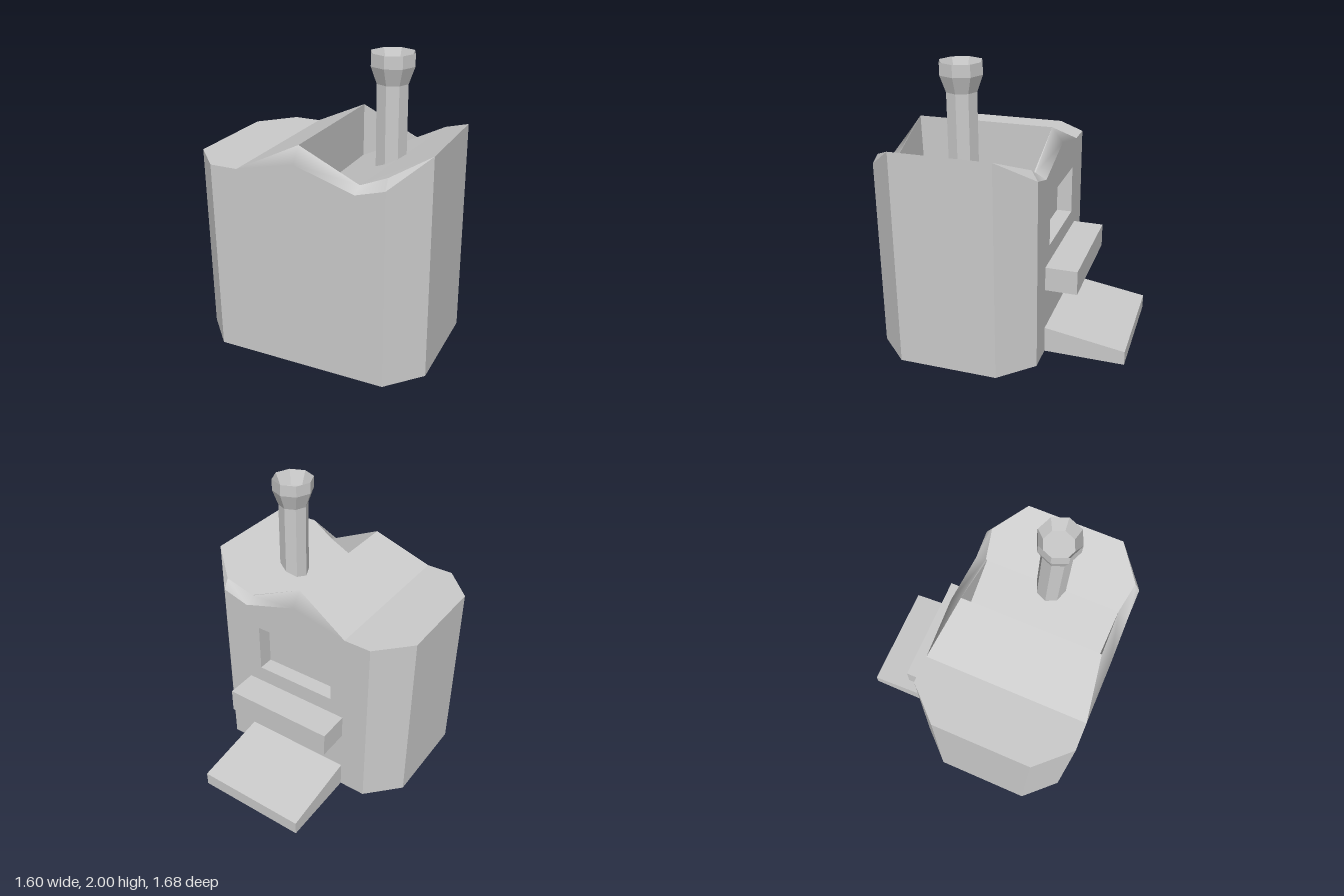
import * as THREE from 'three';
import { mergeGeometries } from 'three/addons/utils/BufferGeometryUtils.js';

const grey = new THREE.MeshStandardMaterial({ color: 0xcccccc });
const flat = new THREE.MeshStandardMaterial({ color: 0xcccccc, flatShading: true });
const inside = new THREE.MeshStandardMaterial({ color: 0xcccccc, side: THREE.BackSide });

function add(parent, name, geometry, material = grey) {
  const mesh = new THREE.Mesh(geometry, material);
  mesh.name = name;
  parent.add(mesh);
  return mesh;
}

// Convex polygon as a triangle fan, corners counter-clockwise from outside
function poly(...pts) {
  const pos = [];
  for (let i = 1; i < pts.length - 1; i++) pos.push(...pts[0], ...pts[i], ...pts[i + 1]);
  const g = new THREE.BufferGeometry();
  g.setAttribute('position', new THREE.Float32BufferAttribute(pos, 3));
  g.computeVertexNormals();
  return g;
}

const flipZ = pts => pts.map(([x, y, z]) => [x, y, -z]).reverse();
const bothEnds = (...pts) => [poly(...pts), poly(...flipZ(pts))];
// Polygon symmetric in z, given by its +z half from left to right
const across = (...half) => poly(...half, ...flipZ(half));

// End wall outline, with an optional window hole
function wall(sign, hole) {
  const outline = [[-0.59, 0], [0.59, 0], [0.59, 1.33], [0.4, 1.275], [0, 1.4], [-0.4, 1.31], [-0.59, 1.31]];
  const shape = new THREE.Shape(outline.map(([x, y]) => new THREE.Vector2(x * sign, y)));
  if (hole) {
    const { w, y0, y1 } = hole;
    shape.holes.push(new THREE.Path([[-w, y0], [-w, y1], [w, y1], [w, y0]].map(p => new THREE.Vector2(...p))));
  }
  const g = new THREE.ShapeGeometry(shape);
  if (sign < 0) g.rotateY(Math.PI);
  return g.translate(0, 0, 0.56 * sign);
}

// Sloping strip between an end wall and the roof, blending into the wall at the hump
function bevel(sign) {
  const pts = [[-0.4, 1.31, 0.56], [0, 1.4, 0.56], [0.4, 1.275, 0.56], [0.59, 1.33, 0.56],
    [0, 1.5, 0.485], [0.4, 1.31, 0.485], [0.59, 1.4, 0.52]];
  let index = [0, 1, 4, 1, 2, 5, 1, 5, 4, 2, 3, 6, 2, 6, 5];
  if (sign < 0) index = index.reverse();
  const g = new THREE.BufferGeometry();
  g.setAttribute('position', new THREE.Float32BufferAttribute(pts.flatMap(([x, y, z]) => [x, y, z * sign]), 3));
  g.setIndex(index);
  g.computeVertexNormals();
  for (const i of [0, 1]) g.attributes.normal.setXYZ(i, 0, 0, sign);
  return g;
}

export function createModel() {
  const model = new THREE.Group();
  model.name = 'building';

  const body = new THREE.Group();
  body.name = 'body';
  body.position.z = 0.28;
  model.add(body);

  // End walls, the back one with a recessed window
  const win = { w: 0.3, y0: 0.77, y1: 1.12 };
  add(body, 'frontWall', wall(1));
  add(body, 'backWall', wall(-1, win));
  const h = win.y1 - win.y0;
  add(body, 'windowRecess', new THREE.BoxGeometry(win.w * 2, h, 0.11), inside)
    .position.set(0, win.y0 + h / 2, -0.505);
  add(body, 'frontBevel', bevel(1));
  add(body, 'backBevel', bevel(-1));

  // Side walls and cut corners
  add(body, 'leftWall', poly([0.8, 0, 0.34], [0.8, 0, -0.34], [0.8, 1.5, -0.34], [0.8, 1.5, 0.34]));
  add(body, 'rightWall', poly([-0.8, 0, -0.34], [-0.8, 0, 0.34], [-0.8, 1.31, 0.34], [-0.8, 1.31, -0.34]));
  add(body, 'cornerWalls', mergeGeometries([
    ...bothEnds([0.59, 0, 0.56], [0.8, 0, 0.34], [0.8, 1.5, 0.34], [0.59, 1.33, 0.56]),
    ...bothEnds([0.59, 1.33, 0.56], [0.8, 1.5, 0.34], [0.59, 1.4, 0.52]),
    ...bothEnds([-0.8, 0, 0.34], [-0.59, 0, 0.56], [-0.59, 1.31, 0.56], [-0.8, 1.31, 0.34]),
  ]));
  const base = [[-0.8, 0, 0.34], [-0.59, 0, 0.56], [0.59, 0, 0.56], [0.8, 0, 0.34]];
  add(body, 'underside', poly(...[...base, ...flipZ(base)].reverse()));

  // Sawtooth roof: flat strip, first slope, upright step, second slope
  add(body, 'flatRoof', across([-0.8, 1.31, 0.34], [-0.59, 1.31, 0.56], [-0.4, 1.31, 0.56]));
  add(body, 'firstSlope', across([-0.4, 1.31, 0.56], [0, 1.5, 0.485]));
  add(body, 'roofStep', across([0, 1.5, 0.485], [0, 1.125, 0.475]));
  add(body, 'secondSlope', mergeGeometries([
    across([0, 1.125, 0.475], [0.4, 1.31, 0.475]),
    across([0.4, 1.31, 0.485], [0.59, 1.4, 0.52], [0.8, 1.5, 0.34]),
  ]));
  add(body, 'parapetInside', mergeGeometries(
    bothEnds([0, 1.125, 0.475], [0, 1.5, 0.485], [0.4, 1.31, 0.485], [0.4, 1.31, 0.475])));

  // Eight-sided chimney with a flared, hollow mouth
  const profile = [[0.105, 1.2], [0.105, 1.81], [0.145, 1.92], [0.145, 2], [0.105, 1.9], [0, 1.9]];
  add(model, 'chimney', new THREE.LatheGeometry(profile.map(p => new THREE.Vector2(...p)), 8), flat)
    .position.set(0.4, 0, 0.28);

  // Serving ledge and entrance ramp at the back
  add(model, 'ledge', new THREE.BoxGeometry(0.8, 0.17, 0.24)).position.set(0, 0.565, -0.38);
  const side = new THREE.Shape([[0.28, 0], [0.84, 0], [0.84, 0.1], [0.28, 0.185]].map(p => new THREE.Vector2(...p)));
  const ramp = new THREE.ExtrudeGeometry(side, { depth: 0.8, bevelEnabled: false });
  add(model, 'ramp', ramp.rotateY(Math.PI / 2).translate(-0.4, 0, 0));

  return model;
}
